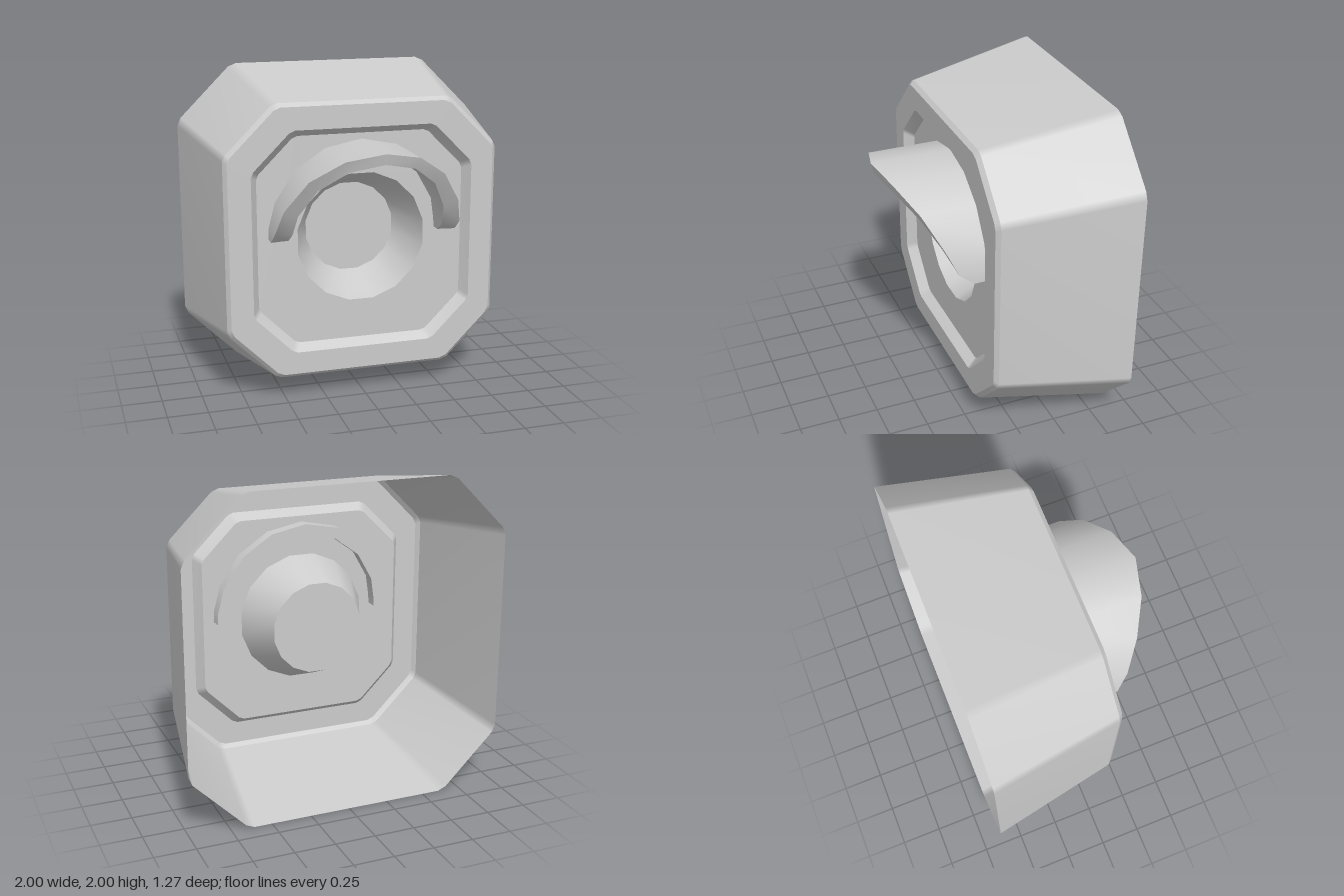
import * as THREE from 'three';
import { mergeGeometries } from 'three/addons/utils/BufferGeometryUtils.js';

const material = new THREE.MeshStandardMaterial({ color: 0xcccccc, side: THREE.DoubleSide });

// Octagonal outline with softened corners, half-width h, at depth z.
function octagon(h, z) {
  const quarter = [[1, 0.61], [0.978, 0.662], [0.662, 0.978], [0.61, 1]];
  const points = [];
  for (let q = 0; q < 4; q++) {
    const c = Math.round(Math.cos(q * Math.PI / 2)), s = Math.round(Math.sin(q * Math.PI / 2));
    for (const [x, y] of quarter) points.push(new THREE.Vector3((x * c - y * s) * h, (x * s + y * c) * h, z));
  }
  return points;
}

// Sixteen-sided circle with flats at top, bottom and sides.
function circle(r, z) {
  return Array.from({ length: 16 }, (_, i) => {
    const a = (i + 0.5) * Math.PI / 8;
    return new THREE.Vector3(r * Math.cos(a), r * Math.sin(a), z);
  });
}

// Surface between two curves with equal point counts.
function strip(a, b, closed) {
  const n = a.length, index = [];
  for (let i = 0; i < (closed ? n : n - 1); i++) {
    const j = (i + 1) % n;
    index.push(i, j, n + j, i, n + j, n + i);
  }
  const geometry = new THREE.BufferGeometry().setFromPoints([...a, ...b]);
  geometry.setIndex(index);
  geometry.computeVertexNormals();
  return geometry;
}

// Sharp-edged bands through a list of closed rings.
const bands = (rings) => mergeGeometries(rings.slice(1).map((ring, i) => strip(rings[i], ring, true)));

function createModel() {
  const model = new THREE.Group();
  const add = (name, geometry, y = 1) => {
    const mesh = new THREE.Mesh(geometry, material);
    mesh.name = name;
    mesh.position.y = y;
    model.add(mesh);
  };

  // Tapered housing, open at the back, with a bevelled front rim and recess wall
  add('housing', bands([
    octagon(1, -0.635), octagon(0.858, 0.175), octagon(0.835, 0.2),
    octagon(0.695, 0.2), octagon(0.652, 0.14),
  ]));

  // Recessed front panel with a round opening
  const flat = (points) => points.map((p) => new THREE.Vector2(p.x, p.y));
  const shape = new THREE.Shape(flat(octagon(0.652, 0)));
  shape.holes.push(new THREE.Path(flat(circle(0.41, 0))));
  add('frontPanel', new THREE.ShapeGeometry(shape).translate(0, 0, 0.14));

  // Conical dish and its flat lens
  add('dish', strip(circle(0.41, 0.14), circle(0.29, -0.13), true));
  add('lens', new THREE.CircleGeometry(0.29, 16, Math.PI / 16).translate(0, 0, -0.13));

  // Arched visor: [degrees from the top, front depth, inner radius]
  const half = [[90, 0.22, 0.475], [83, 0.31, 0.475], [67.5, 0.38, 0.49], [45, 0.48, 0.505], [22.5, 0.58, 0.515]];
  const stations = [...half, [0, 0.635, 0.52], ...half.map(([d, z, r]) => [-d, z, r]).reverse()];
  const curve = (radius, depth) => stations.map(([d, z, r]) => {
    const a = d * Math.PI / 180, R = radius(r);
    return new THREE.Vector3(R * Math.sin(a), R * Math.cos(a), depth(z));
  });
  const outer = () => 0.585, inner = (r) => r, back = () => 0.06;
  const edges = [
    curve(outer, back), curve(outer, (z) => z),
    curve(inner, (z) => z - 0.015), curve(inner, back),
  ];
  const sides = edges.map((edge, i) => strip(edge, edges[(i + 1) % 4], false));
  const caps = [0, stations.length - 1].map((k) => {
    const [ob, of, inf, ib] = edges.map((edge) => edge[k]);
    return k ? strip([ob, of], [ib, inf], false) : strip([ib, inf], [ob, of], false);
  });
  add('visor', mergeGeometries([...sides, ...caps]), 1.03);

  return model;
}

export { createModel };
